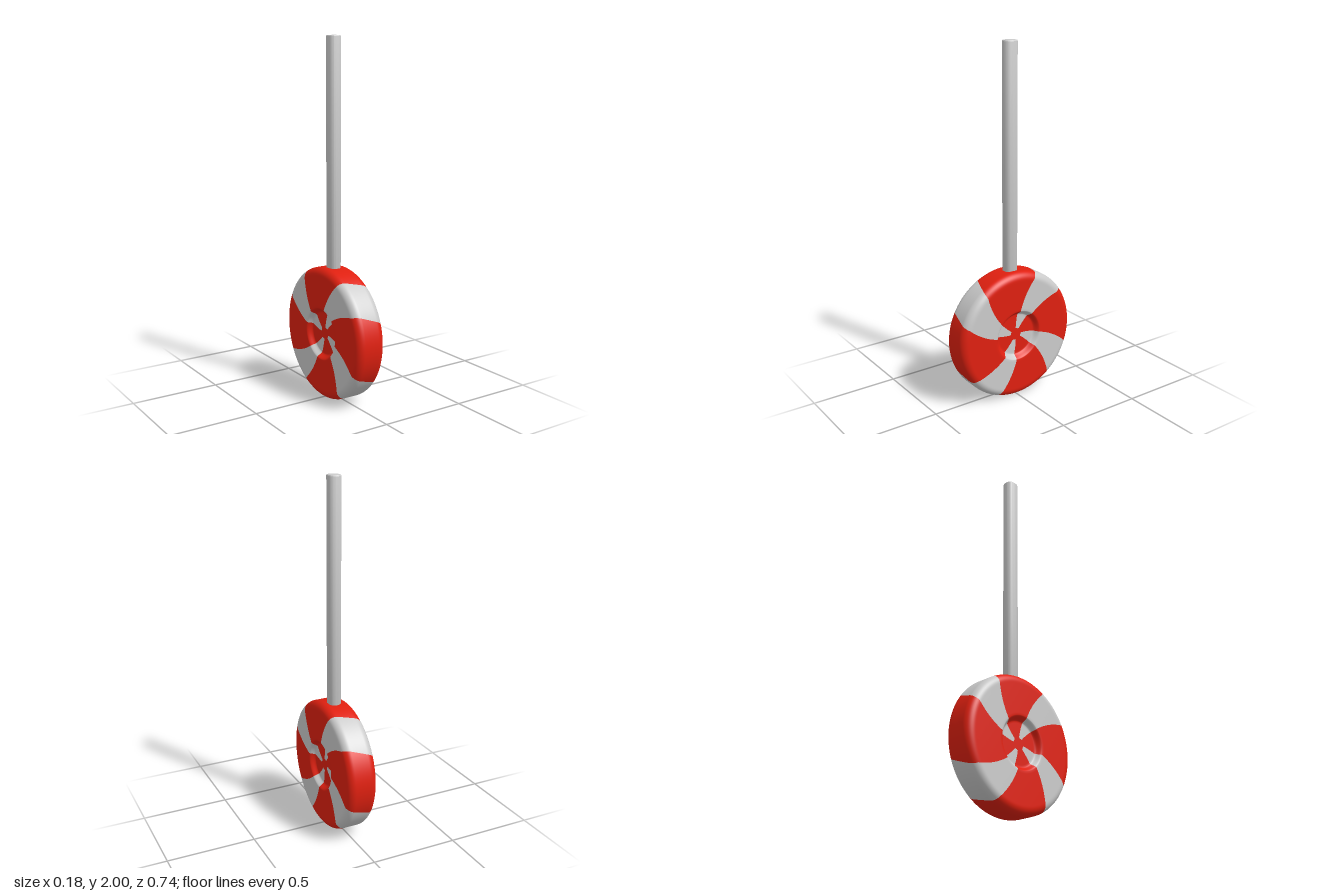
import * as THREE from 'three';
import { toCreasedNormals } from 'three/addons/utils/BufferGeometryUtils.js';

const R = 0.372, HALF = 0.088, CORNER = 0.045, RAD = Math.PI / 180;
const STRIPES = 4, HALF_GREY = 17;

// Candy cross-section as [x, r], from the centre of the +x face over the rim to the -x face
function candyProfile() {
  const half = [];
  // side face with a round dished centre
  const face = r => HALF - 0.03 * (1 - THREE.MathUtils.smoothstep(r, 0.118, 0.148));
  for (const r of [0, 0.015, 0.033, 0.036, 0.06, 0.09, 0.11]) half.push([face(r), r]);
  for (let r = 0.118; r < 0.15; r += 0.005) half.push([face(r), r]);
  for (let r = 0.16; r < R - CORNER - 0.005; r += 0.02) half.push([HALF, r]);
  // rounded corner
  for (let i = 0; i <= 10; i++) {
    const a = i / 10 * Math.PI / 2;
    half.push([HALF - CORNER + CORNER * Math.cos(a), R - CORNER + CORNER * Math.sin(a)]);
  }
  half.push([0.02, R]);
  return [...half, [0, R], ...half.reverse().map(([x, r]) => [-x, r])];
}

// Angle of a stripe's middle: swirls inward on both faces and slants across the rim
const swirl = (x, r) => 49 + 57 * x + Math.sign(x) * 24 * Math.max(0, 1 - r / 0.34);
const greyHalf = r => (r < 0.035 ? 0 : HALF_GREY);

// All bands of one colour; edges(x, r) gives the start and end angle of the first band
function bands(profile, edges, steps) {
  const pos = [], nor = [], idx = [], n = profile.length;
  for (let k = 0; k < STRIPES; k++) {
    const base = pos.length / 3;
    profile.forEach(([x, r], i) => {
      const p = profile[Math.max(i - 1, 0)], q = profile[Math.min(i + 1, n - 1)];
      const dx = q[0] - p[0], dr = q[1] - p[1], len = Math.hypot(dx, dr);
      const [from, to] = edges(x, r);
      for (let j = 0; j <= steps; j++) {
        const a = (from + (to - from) * j / steps + k * 360 / STRIPES) * RAD;
        const c = Math.cos(a), s = Math.sin(a);
        pos.push(x, r * s, -r * c);
        nor.push(dr / len, -dx / len * s, dx / len * c);
        if (i < n - 1 && j < steps) {
          const v = base + i * (steps + 1) + j, w = v + steps + 1;
          idx.push(v, w, v + 1, w, w + 1, v + 1);
        }
      }
    });
  }
  const geo = new THREE.BufferGeometry();
  geo.setAttribute('position', new THREE.Float32BufferAttribute(pos, 3));
  geo.setAttribute('normal', new THREE.Float32BufferAttribute(nor, 3));
  geo.setIndex(idx);
  return geo;
}

// Rounded-rectangle stick with softened ends
function stickGeometry(hx, hz, bottom, top) {
  const b = 0.006, x = hx - b, z = hz - b, c = 0.024;
  const s = new THREE.Shape();
  s.moveTo(x, -z + c);
  s.lineTo(x, z - c);
  s.absarc(x - c, z - c, c, 0, Math.PI / 2);
  s.absarc(-x + c, z - c, c, Math.PI / 2, Math.PI);
  s.absarc(-x + c, -z + c, c, Math.PI, Math.PI * 1.5);
  s.absarc(x - c, -z + c, c, Math.PI * 1.5, Math.PI * 2);
  const geo = new THREE.ExtrudeGeometry(s, {
    depth: top - bottom - 2 * b, curveSegments: 8,
    bevelSize: b, bevelThickness: b, bevelSegments: 3
  });
  geo.rotateX(-Math.PI / 2).translate(0, bottom + b, 0);
  return toCreasedNormals(geo, 0.7);
}

export function createModel() {
  const model = new THREE.Group();
  const red = new THREE.MeshStandardMaterial({ color: 0xe02010 });
  const grey = new THREE.MeshStandardMaterial({ color: 0xcccccc });
  const add = (parent, name, geo, mat) => {
    const mesh = new THREE.Mesh(geo, mat);
    mesh.name = name;
    parent.add(mesh);
  };

  // Round swirled candy standing on its rim
  const candy = new THREE.Group();
  candy.name = 'candy';
  candy.position.y = R;
  const profile = candyProfile();
  add(candy, 'greyStripes', bands(profile,
    (x, r) => [swirl(x, r) - greyHalf(r), swirl(x, r) + greyHalf(r)], 12), grey);
  add(candy, 'redStripes', bands(profile,
    (x, r) => [swirl(x, r) + greyHalf(r), swirl(x, r) + 360 / STRIPES - greyHalf(r)], 18), red);
  model.add(candy);

  // Stick rising from the top of the rim
  add(model, 'stick', stickGeometry(0.035, 0.04, 0.7, 2), grey);
  return model;
}
